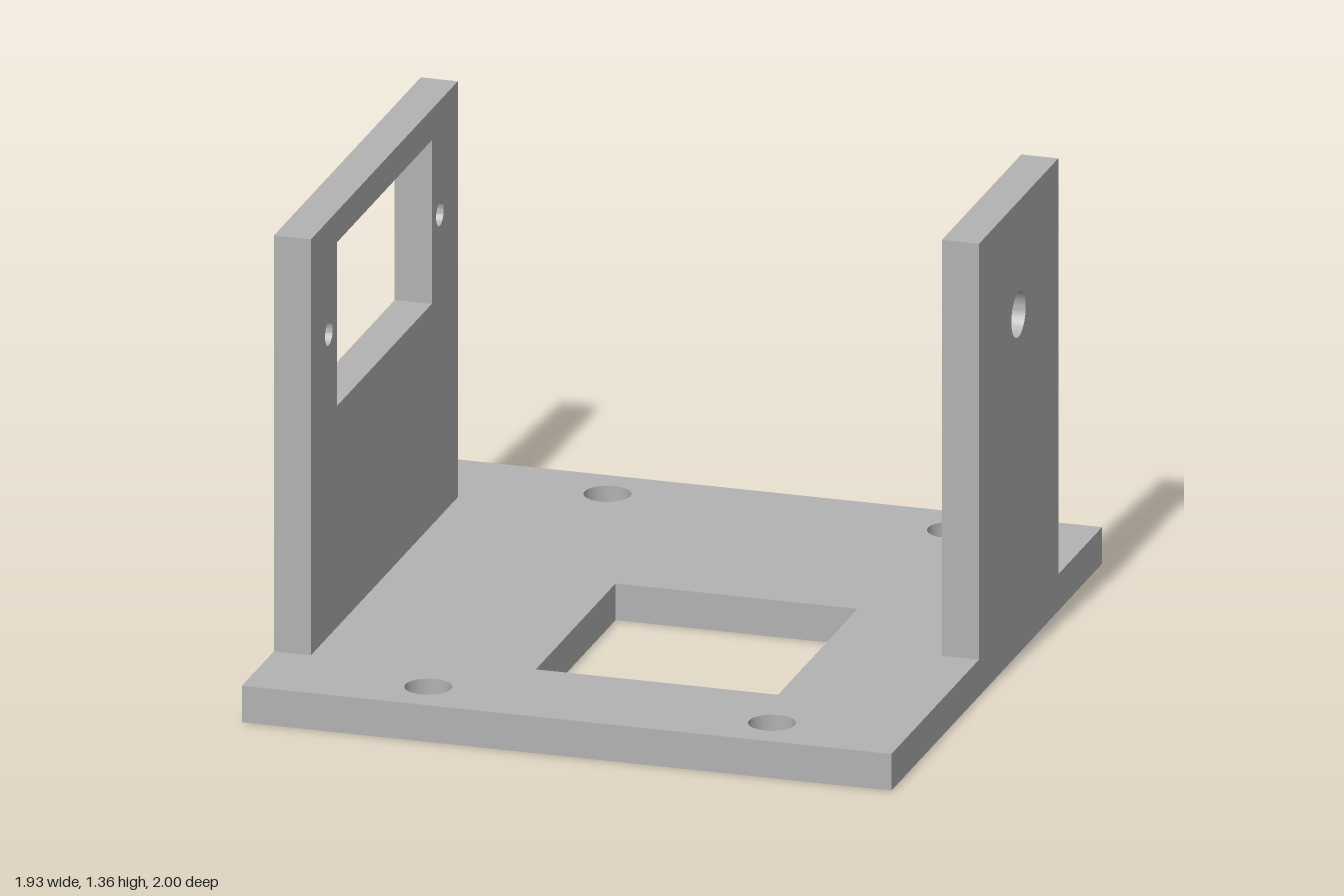
import * as THREE from 'three';
import { toCreasedNormals } from 'three/addons/utils/BufferGeometryUtils.js';

const T = 0.11; // thickness of every plate

function rectangle(x0, y0, x1, y1, PathType = THREE.Path) {
  return new PathType([[x0, y0], [x1, y0], [x1, y1], [x0, y1]].map(p => new THREE.Vector2(...p)));
}

function circle(x, y, r) {
  return new THREE.Path().absarc(x, y, r, 0, Math.PI * 2);
}

// Flat plate with cut-outs, extruded along +z
function plate(outline, holes) {
  outline.holes.push(...holes);
  const geometry = new THREE.ExtrudeGeometry(outline, { depth: T, bevelEnabled: false, curveSegments: 24 });
  return toCreasedNormals(geometry, 0.6);
}

export function createModel() {
  const group = new THREE.Group();
  const grey = new THREE.MeshStandardMaterial({ color: 0xb2b2b2 });
  grey.name = 'grey';

  const add = (name, geometry) => {
    const mesh = new THREE.Mesh(geometry, grey);
    mesh.name = name;
    group.add(mesh);
  };

  // Base with a rectangular opening and four mounting holes (shape y = -z)
  const mountHoles = [];
  for (const x of [-0.457, 0.562]) {
    for (const z of [-0.85, 0.85]) mountHoles.push(circle(x, z, 0.068));
  }
  const base = plate(rectangle(-0.963, -1, 0.963, 1, THREE.Shape),
    [rectangle(-0.21, -0.62, 0.508, 0.137), ...mountHoles]);
  add('basePlate', base.rotateX(-Math.PI / 2));

  // Walls are drawn with shape x = -z, then turned to face sideways
  const addWall = (name, x, outline, holes) =>
    add(name, plate(outline, holes).rotateY(Math.PI / 2).translate(x, 0, 0));

  // Wide right wall with a window and a screw hole on either side
  addWall('windowWall', -0.963, rectangle(-0.697, T, 0.697, 1.36, THREE.Shape), [
    rectangle(-0.45, 0.775, 0.45, 1.267),
    circle(-0.527, 1.02, 0.036),
    circle(0.527, 1.02, 0.036),
  ]);

  // Narrow left wall with one pivot hole
  addWall('pivotWall', 0.963 - T, rectangle(-0.168, T, 0.585, 1.36, THREE.Shape),
    [circle(0.207, 1.02, 0.068)]);

  return group;
}
